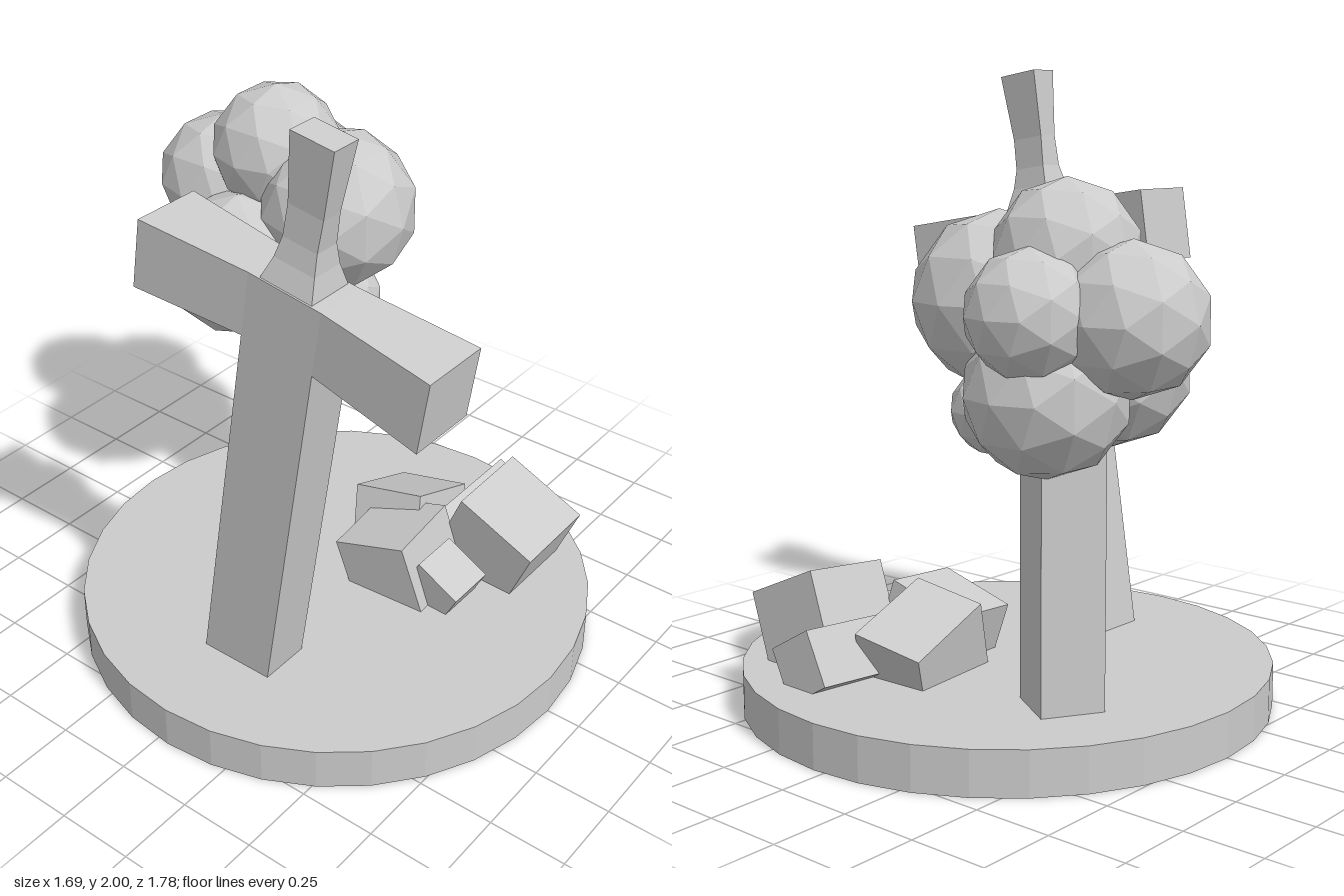
import * as THREE from 'three';

const mat = new THREE.MeshStandardMaterial({ color: 0xcccccc, flatShading: true });

function add(parent, name, geometry, pos = [0, 0, 0], rot = [0, 0, 0]) {
  const mesh = new THREE.Mesh(geometry, mat);
  mesh.name = name;
  mesh.position.set(...pos);
  mesh.rotation.set(...rot);
  parent.add(mesh);
  return mesh;
}

// Rectangular column through cross-sections [height, halfX, halfZ], bottom to top
function column(sections) {
  const n = sections.length - 1;
  const geo = new THREE.BoxGeometry(2, 1, 2, 1, n, 1);
  const p = geo.attributes.position;
  for (let i = 0; i < p.count; i++) {
    const [h, hx, hz] = sections[Math.round((p.getY(i) + 0.5) * n)];
    p.setXYZ(i, p.getX(i) * hx, h, p.getZ(i) * hz);
  }
  geo.computeVertexNormals();
  return geo;
}

// Crossguard: a bar along z that flares toward both ends
function crossguard() {
  const geo = new THREE.BoxGeometry(0.23, 0.228, 1.006, 1, 1, 3);
  const p = geo.attributes.position;
  for (let i = 0; i < p.count; i++) {
    if (Math.abs(p.getZ(i)) > 0.4) continue;
    p.setX(i, Math.sign(p.getX(i)) * 0.085);
    p.setY(i, p.getY(i) > 0 ? 0.118 : -0.092);
    p.setZ(i, Math.sign(p.getZ(i)) * 0.126);
  }
  geo.computeVertexNormals();
  return geo;
}

export function createModel() {
  const model = new THREE.Group();
  model.name = 'swordAndTree';

  // Round base
  add(model, 'base', new THREE.CylinderGeometry(0.847, 0.847, 0.14, 32), [0, 0.07, 0.04]);

  // Leaning sword, its origin at the middle of the crossguard
  const sword = new THREE.Group();
  sword.name = 'sword';
  sword.position.set(-0.46, 1.43, 0.265);
  sword.rotation.x = 0.154;
  model.add(sword);
  add(sword, 'blade', column([[-1.36, 0.085, 0.126], [-0.08, 0.085, 0.126]]));
  add(sword, 'crossguard', crossguard());
  add(sword, 'grip', column([
    [0.1, 0.085, 0.095], [0.185, 0.055, 0.07], [0.25, 0.042, 0.059],
    [0.35, 0.036, 0.06], [0.567, 0.05, 0.073],
  ]));

  // Tree: square trunk and faceted leaf clusters
  const tree = new THREE.Group();
  tree.name = 'tree';
  model.add(tree);
  add(tree, 'trunk', new THREE.BoxGeometry(0.196, 1.0, 0.196), [0.265, 0.6, -0.4], [0, -0.55, 0]);
  const clusters = [
    [0.3, 1.325, -0.19, 0.26], [0.3, 1.3, -0.67, 0.22], [0.3, 1.467, -0.44, 0.215],
    [0.095, 1.13, -0.44, 0.24], [0.495, 1.315, -0.47, 0.187], [0.375, 1.08, -0.43, 0.243],
    [0.3, 1.0, -0.178, 0.138],
  ];
  for (const [x, y, z, r] of clusters) {
    add(tree, 'leafCluster', new THREE.IcosahedronGeometry(r, 1), [x, y, z]);
  }

  // Pile of tilted stones: size, position, rotation
  const rubble = new THREE.Group();
  rubble.name = 'rubble';
  model.add(rubble);
  const stones = [
    [[0.295, 0.3, 0.3], [0.403, 0.255, 0.453], [0.41, 0, 0.08]],
    [[0.165, 0.17, 0.17], [0.125, 0.19, 0.39], [0.49, 0, 0.08]],
    [[0.27, 0.27, 0.27], [0.125, 0.21, 0.22], [-0.3, 0.04, 0.08]],
    [[0.31, 0.26, 0.25], [0.31, 0.205, 0.12], [-0.18, 0.1, -0.37]],
    [[0.38, 0.18, 0.18], [0.485, 0.195, 0.285], [0.52, 0, 0.06]],
  ];
  for (const [size, pos, rot] of stones) {
    add(rubble, 'stone', new THREE.BoxGeometry(...size), pos, rot);
  }
  return model;
}
